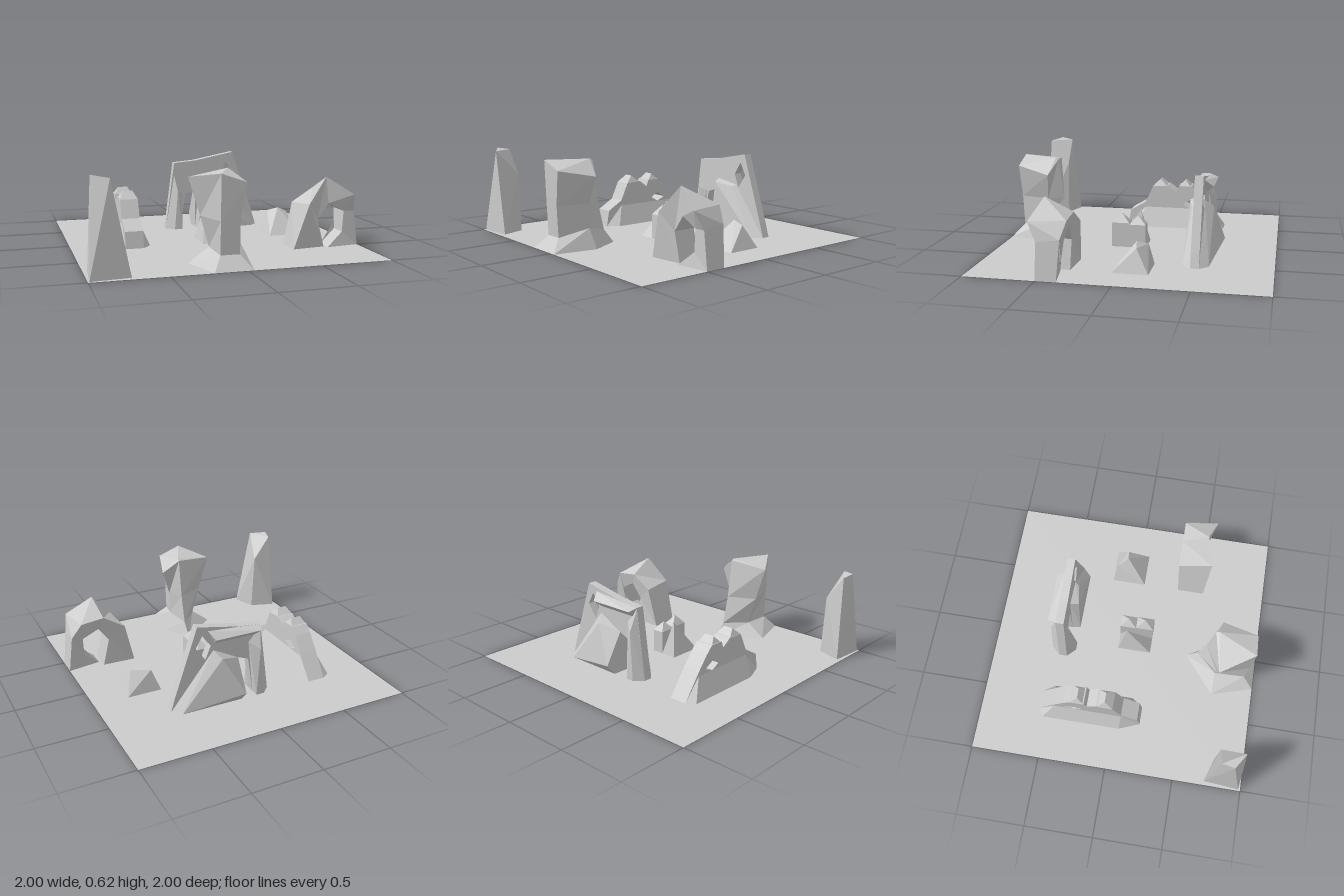
import * as THREE from 'three';
import { ConvexGeometry } from 'three/addons/geometries/ConvexGeometry.js';

const material = new THREE.MeshStandardMaterial({ color: 0xcccccc, flatShading: true, side: THREE.DoubleSide });

const V = (p) => new THREE.Vector3(...p);
const flat = (y, outline) => outline.map(([x, z]) => [x, y, z]);

function part(parent, name, geometry) {
  const mesh = new THREE.Mesh(geometry, material);
  mesh.name = name;
  parent.add(mesh);
  return mesh;
}

function group(parent, name) {
  const g = new THREE.Group();
  g.name = name;
  parent.add(g);
  return g;
}

// Convex boulder around a few corner points
const hull = (points) => new ConvexGeometry(points.map(V));

// Faceted skin through equal-sized rings, with both ends closed by a fan
function loft(rings, topHub) {
  const tris = [];
  const n = rings[0].length;
  for (let r = 0; r + 1 < rings.length; r++) {
    for (let i = 0; i < n; i++) {
      const j = (i + 1) % n;
      const [a, b, c, d] = [rings[r][i], rings[r][j], rings[r + 1][j], rings[r + 1][i]];
      tris.push([a, b, c], [a, c, d]);
    }
  }
  const last = rings[rings.length - 1];
  for (let i = 1; i + 1 < n; i++) tris.push([rings[0][0], rings[0][i + 1], rings[0][i]]);
  for (let i = 0; i < n; i++) tris.push([topHub ?? last[0], last[i], last[(i + 1) % n]]);
  // Turn the skin outward if its signed volume is negative
  const volume = tris.reduce((s, [a, b, c]) => s + V(a).dot(V(b).cross(V(c))), 0);
  if (volume < 0) tris.forEach((t) => t.reverse());
  const g = new THREE.BufferGeometry();
  g.setAttribute('position', new THREE.Float32BufferAttribute(tris.flat(2), 3));
  g.computeVertexNormals();
  return g;
}

// Upright slab from an outline with one hole
function slab(outline, hole, depth) {
  const toPath = (pts) => pts.map(([x, y]) => new THREE.Vector2(x, y));
  const shape = new THREE.Shape(toPath(outline));
  shape.holes.push(new THREE.Path(toPath(hole)));
  return new THREE.ExtrudeGeometry(shape, { depth, bevelEnabled: false });
}

export function createModel() {
  const model = new THREE.Group();
  model.name = 'rockField';

  part(model, 'ground', new THREE.PlaneGeometry(2, 2).rotateX(-Math.PI / 2));

  // Corner spire
  part(model, 'spire', hull([
    ...flat(0, [[-0.99, 0.985], [-0.73, 0.96], [-0.79, 0.79], [-0.97, 0.73]]),
    [-0.96, 0.625, 0.88], [-0.85, 0.61, 0.95], [-0.94, 0.61, 0.79], [-0.81, 0.43, 0.79],
  ]));

  // Top-heavy pillar with a flared foot
  part(model, 'pillar', loft([
    flat(0, [[-0.22, 1], [0.04, 1], [0.09, 0.69], [-0.03, 0.47], [-0.31, 0.7]]),
    [[-0.16, 0.09, 0.92], [-0.03, 0.09, 0.92], [0.03, 0.14, 0.71], [-0.03, 0.1, 0.55], [-0.17, 0.1, 0.7]],
    [[-0.16, 0.31, 0.93], [-0.03, 0.31, 0.93], [0.03, 0.31, 0.71], [-0.03, 0.31, 0.6], [-0.23, 0.31, 0.7]],
    [[-0.16, 0.61, 0.94], [0.01, 0.55, 0.94], [0.09, 0.5, 0.69], [-0.03, 0.6, 0.64], [-0.31, 0.565, 0.7]],
  ], [-0.03, 0.61, 0.66]));

  // Low arch: rings run from the left foot over the crown to the right foot
  part(model, 'lowArch', loft([
    [[0.5, 0, 0.53], [0.5, 0, 0.33], [0.74, 0, 0.34], [0.74, 0, 0.5]],
    [[0.6, 0.32, 0.56], [0.57, 0.3, 0.31], [0.69, 0.2, 0.34], [0.69, 0.2, 0.5]],
    [[0.75, 0.5, 0.5], [0.73, 0.4, 0.31], [0.77, 0.31, 0.33], [0.77, 0.31, 0.5]],
    [[0.94, 0.375, 0.56], [0.9, 0.38, 0.31], [0.89, 0.25, 0.34], [0.89, 0.25, 0.5]],
    [[0.97, 0.25, 0.5], [0.97, 0.27, 0.34], [0.88, 0.1, 0.36], [0.88, 0.1, 0.5]],
    [[1, 0, 0.5], [1, 0, 0.36], [0.76, 0, 0.4], [0.76, 0, 0.53]],
  ]));

  // Tall pierced wall with buttresses on both faces
  const wall = group(model, 'piercedWall');
  part(wall, 'wallSlab', slab(
    [[-0.19, 0], [-0.07, 0], [-0.03, 0.27], [0.05, 0.3], [0.05, 0], [0.56, 0], [0.53, 0.1],
      [0.36, 0.595], [0.05, 0.535], [-0.12, 0.52]],
    [[0.26, 0.44], [0.32, 0.53], [0.37, 0.44], [0.3, 0.34]], 0.06,
  )).position.z = -0.5;
  part(wall, 'frontButtress', hull([
    [0.06, 0, -0.38], [0.11, 0.37, -0.38], [0.26, 0.35, -0.41], [0.5, 0, -0.38],
    [0.05, 0, -0.44], [0.09, 0.39, -0.44], [0.28, 0.36, -0.44], [0.56, 0, -0.44],
  ]));
  part(wall, 'frontPost', hull([
    [-0.13, 0, -0.38], [-0.07, 0, -0.38], [-0.1, 0.3, -0.4],
    [-0.19, 0, -0.44], [-0.07, 0, -0.44], [-0.12, 0.42, -0.44], [-0.05, 0.28, -0.44],
  ]));
  part(wall, 'backButtress', hull([
    [0.05, 0.08, -0.63], [0.05, 0, -0.56], [0.5, 0, -0.56], [0.2, 0.35, -0.56],
    [0.05, 0, -0.5], [0.56, 0, -0.5], [0.24, 0.4, -0.5], [0.05, 0.3, -0.5],
  ]));
  part(wall, 'backPost', hull([
    [-0.13, 0, -0.56], [-0.07, 0, -0.56], [-0.1, 0.35, -0.55],
    [-0.19, 0, -0.5], [-0.07, 0, -0.5], [-0.12, 0.5, -0.5], [-0.03, 0.4, -0.5],
  ]));
  part(wall, 'backLedge', hull([
    [-0.1, 0.5, -0.56], [0.25, 0.5, -0.56],
    [-0.12, 0.52, -0.5], [0.28, 0.55, -0.5], [-0.08, 0.45, -0.5], [0.23, 0.45, -0.5],
  ]));

  // Long ridge with a window, sloping flanks and two peaks
  const ridge = group(model, 'ridge');
  part(ridge, 'ridgeCore', slab(
    [[0.2, 0], [0.18, 0.12], [0.06, 0.19], [0, 0.32], [-0.12, 0.33], [-0.19, 0.28], [-0.21, 0.33],
      [-0.31, 0.33], [-0.36, 0.28], [-0.44, 0.18], [-0.57, 0]],
    [[-0.24, 0.185], [-0.3, 0.22], [-0.37, 0.18], [-0.3, 0.15]], 0.13,
  ).rotateY(-Math.PI / 2)).position.x = -0.5;
  part(ridge, 'ridgeFlanks', hull([
    ...flat(0, [[-0.63, -0.57], [-0.5, -0.57], [-0.44, -0.48], [-0.44, 0.12], [-0.5, 0.2],
      [-0.63, 0.2], [-0.69, 0.05], [-0.69, -0.53]]),
    ...flat(0.15, [[-0.63, -0.44], [-0.5, -0.44], [-0.5, 0.06], [-0.63, 0.06]]),
  ]));
  for (const [back, front] of [[-0.12, 0], [-0.31, -0.21]]) {
    part(ridge, 'ridgePeak', hull([
      ...flat(0.32, [[-0.63, back], [-0.5, back], [-0.5, front], [-0.63, front]]),
      [-0.6, 0.375, (back + front) / 2], [-0.53, 0.375, (back + front) / 2],
    ]));
  }

  // Small cluster in the middle
  const cluster = group(model, 'smallCluster');
  part(cluster, 'clusterWedge', hull([
    ...flat(0, [[-0.06, 0.19], [0.06, 0.19], [0.06, -0.06], [-0.06, -0.06]]), [0, 0.25, 0],
  ]));
  for (const [back, front, peak, shoulder] of [[0.06, 0.19, 0.25, 0.18], [-0.06, 0.06, 0.23, 0.17]]) {
    const square = [[0.06, back], [0.15, back], [0.15, front], [0.06, front]];
    part(cluster, 'clusterBlock', hull([
      ...flat(0, square), ...flat(shoulder, square), [0.105, peak, (back + front) / 2],
    ]));
  }

  // Low wedge rock on the left side
  part(model, 'lowRock', hull([
    ...flat(0, [[0.5, 0.06], [0.75, 0.06], [0.75, -0.19], [0.5, -0.19]]),
    [0.62, 0.19, -0.09], [0.69, 0.16, -0.1], [0.56, 0.16, -0.16],
  ]));

  return model;
}
